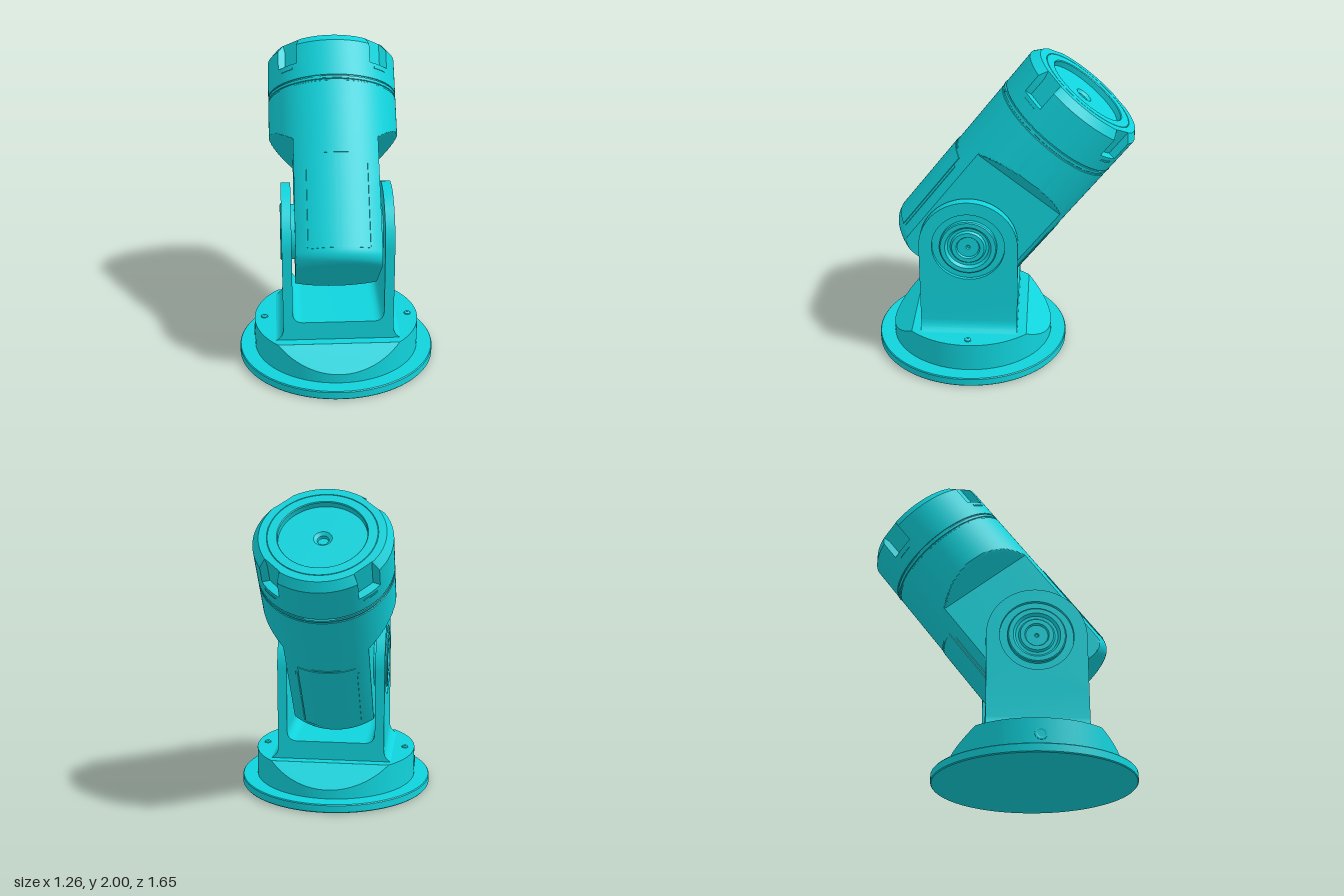
import * as THREE from 'three';
import { toCreasedNormals } from 'three/addons/utils/BufferGeometryUtils.js';

const teal = new THREE.MeshStandardMaterial({ color: 0x10d3dc });
teal.name = 'turquoise';

const BASE_Z = 0.193;   // centre line of base and yoke
const PIVOT_Y = 0.845;  // height of the tilt axis
const R = 0.415;        // head radius

function part(parent, name, geo, crease = 0.5) {
  const mesh = new THREE.Mesh(toCreasedNormals(geo, crease), teal);
  mesh.name = name;
  parent.add(mesh);
  return mesh;
}

const lathe = (pts, segs = 64) =>
  new THREE.LatheGeometry(pts.map(([r, y]) => new THREE.Vector2(r, y)), segs);

const extrude = (shape, depth) =>
  new THREE.ExtrudeGeometry(shape, { depth, bevelEnabled: false, curveSegments: 40 });

// Extrude a plan shape upwards from y0 to y1
const slab = (shape, y0, y1) => extrude(shape, y1 - y0).rotateX(-Math.PI / 2).translate(0, y0, 0);

// Move every vertex by a rule
function warp(geo, rule) {
  const p = geo.attributes.position, v = new THREE.Vector3();
  for (let i = 0; i < p.count; i++) {
    rule(v.fromBufferAttribute(p, i));
    p.setXYZ(i, v.x, v.y, v.z);
  }
  return geo;
}

// Curved plate hugging the head; mid is its plan angle, -PI/2 is the front
function arcPlate(r0, r1, mid, half, y0, y1) {
  const s = new THREE.Shape();
  s.absarc(0, 0, r1, mid - half, mid + half, false);
  s.absarc(0, 0, r0, mid + half, mid - half, true);
  return slab(s, y0, y1);
}

function makeBase() {
  const g = new THREE.Group();
  g.name = 'base';
  part(g, 'baseFlange', lathe([[0, 0], [0.625, 0], [0.63, 0.006], [0.63, 0.05], [0.625, 0.056], [0, 0.056]], 96));

  // Raised plinth: flat middle band plus sloping front and back
  const r = 0.53, a = Math.asin(0.37 / r);
  const band = new THREE.Shape();
  band.absarc(0, 0, r, -a, a, false);
  band.absarc(0, 0, r, Math.PI - a, Math.PI + a, false);
  part(g, 'plinth', slab(band, 0.05, 0.24));
  for (const [name, turn] of [['plinthBackSlope', 0], ['plinthFrontSlope', Math.PI]]) {
    const seg = new THREE.Shape();
    seg.absarc(0, 0, r, a, Math.PI - a, false);
    const geo = warp(slab(seg, 0.05, 0.24), v => {
      if (v.y > 0.1) v.y = 0.115 + (r - Math.abs(v.z)) * 0.78;
    });
    part(g, name, geo.rotateY(turn));
  }

  // Screws on both sides, cable port on one side
  for (const s of [-1, 1]) {
    part(g, 'screw', lathe([[0.022, 0.24], [0.021, 0.247], [0.014, 0.252], [0.006, 0.252], [0.005, 0.248], [0, 0.248]], 16))
      .position.x = s * 0.467;
  }
  part(g, 'cablePort', lathe([[0.038, 0.52], [0.038, 0.534], [0.027, 0.534], [0.022, 0.531], [0, 0.531]], 24)
    .rotateZ(Math.PI / 2).translate(0, 0.145, 0));
  return g;
}

function makeYoke() {
  const g = new THREE.Group();
  g.name = 'yoke';
  const depth = 0.62, h = depth / 2, split = 0.5;

  // Lower U with flared feet and rounded inner corners
  const u = new THREE.Shape();
  u.moveTo(-0.405, 0.235);
  u.quadraticCurveTo(-0.35, 0.25, -0.345, 0.31);
  u.lineTo(-0.345, split);
  u.lineTo(-0.285, split);
  u.lineTo(-0.285, 0.43);
  u.quadraticCurveTo(-0.285, 0.36, -0.215, 0.36);
  u.lineTo(0.215, 0.36);
  u.quadraticCurveTo(0.285, 0.36, 0.285, 0.43);
  u.lineTo(0.285, split);
  u.lineTo(0.345, split);
  u.lineTo(0.345, 0.31);
  u.quadraticCurveTo(0.35, 0.25, 0.405, 0.235);
  part(g, 'yokeFloor', extrude(u, depth).translate(0, 0, -h));

  // Round-topped arms with a round opening for the hub
  const arm = new THREE.Shape();
  arm.moveTo(-h, split);
  arm.lineTo(h, split);
  arm.absarc(0, PIVOT_Y, h, 0, Math.PI, false);
  const hole = new THREE.Path();
  hole.absarc(0, PIVOT_Y, 0.228, 0, Math.PI * 2, true);
  arm.holes.push(hole);

  // Stepped pivot hub
  const hub = [[0, 0.25], [0.175, 0.25], [0.175, 0.285], [0.228, 0.285], [0.228, 0.322], [0.18, 0.322],
    [0.18, 0.347], [0.173, 0.353], [0.145, 0.353], [0.13, 0.335], [0.112, 0.335], [0.102, 0.35],
    [0.075, 0.35], [0.068, 0.338], [0.014, 0.338], [0.008, 0.33], [0, 0.33]];
  for (const s of [-1, 1]) {
    part(g, s > 0 ? 'leftArm' : 'rightArm',
      extrude(arm, 0.06).rotateY(Math.PI / 2).translate(s > 0 ? 0.285 : -0.345, 0, 0));
    part(g, s > 0 ? 'leftHub' : 'rightHub',
      lathe(hub).rotateZ(-s * Math.PI / 2).translate(0, PIVOT_Y, 0));
  }
  return g;
}

function makeHead() {
  const g = new THREE.Group();
  g.name = 'head';

  // Round body, flattened on both sides low down with sloping shoulders
  const body = [[0, -0.29], [0.15, -0.29]];
  for (let i = 0; i <= 8; i++) {
    const t = i / 8 * Math.PI / 2;
    body.push([R - 0.08 + 0.08 * Math.sin(t), -0.21 - 0.08 * Math.cos(t)]);
  }
  body.push([R, 0.2]);
  for (let i = 0; i <= 12; i++) body.push([R, 0.51 + i * 0.01]);
  body.push([R, 0.855], [R - 0.005, 0.858], [R - 0.005, 0.866], [R, 0.869],
    [R, 0.886], [R - 0.008, 0.888], [R - 0.008, 0.9], [0, 0.9]);
  part(g, 'headBody', warp(lathe(body, 192), v => {
    const w = 0.263 + Math.max(0, v.y - 0.51) * 1.38;
    v.x = THREE.MathUtils.clamp(v.x, -w, w);
  }));

  // End cap with bevelled rim, four flat-bottomed notches and a dished face
  const cap = [[0.39, 0.895], [R, 0.895], [R, 1.0], [R, 1.002], [R, 1.125], [0.375, 1.175],
    [0.327, 1.175], [0.325, 1.171], [0.322, 1.175], [0.268, 1.175], [0.263, 1.17], [0.263, 1.135],
    [0.055, 1.135], [0.035, 1.12], [0.033, 1.1], [0, 1.1]];
  part(g, 'endCap', warp(lathe(cap, 192), v => {
    const r = Math.hypot(v.x, v.z);
    if (v.y < 1.001 || r < 0.3) return;
    const phi = Math.atan2(v.z, v.x);
    const off = phi - (Math.floor(phi / (Math.PI / 2)) + 0.5) * Math.PI / 2;
    const floor = 0.366 / Math.cos(off);
    if (Math.abs(off) < 0.175 && r > floor) {
      v.x *= floor / r;
      v.z *= floor / r;
    }
  }), 0.4);

  // Cover panels with side rails and latch tabs, front and back
  for (const mid of [-Math.PI / 2, Math.PI / 2]) {
    part(g, 'coverPanel', arcPlate(0.40, R + 0.005, mid, 0.445, -0.2, 0.385));
    for (const s of [-1, 1])
      part(g, 'panelRail', arcPlate(0.40, R + 0.004, mid + s * 0.485, 0.018, -0.19, 0.33));
    part(g, 'panelLatch', arcPlate(0.40, R + 0.004, mid, 0.21, 0.39, 0.4));
    part(g, 'capLatch', arcPlate(0.40, R + 0.004, mid, 0.22, 0.872, 0.886));
  }
  // Small ledges below the cap notches
  for (let i = 0; i < 4; i++)
    part(g, 'notchLedge', arcPlate(0.40, R + 0.004, (i + 0.5) * Math.PI / 2, 0.12, 0.965, 0.977));

  g.position.y = PIVOT_Y;
  g.rotation.x = -THREE.MathUtils.degToRad(38);
  return g;
}

export function createModel() {
  const model = new THREE.Group();
  model.name = 'tiltingSpotlight';
  model.add(makeBase(), makeYoke(), makeHead());
  for (const child of model.children) child.position.z = BASE_Z;
  return model;
}
